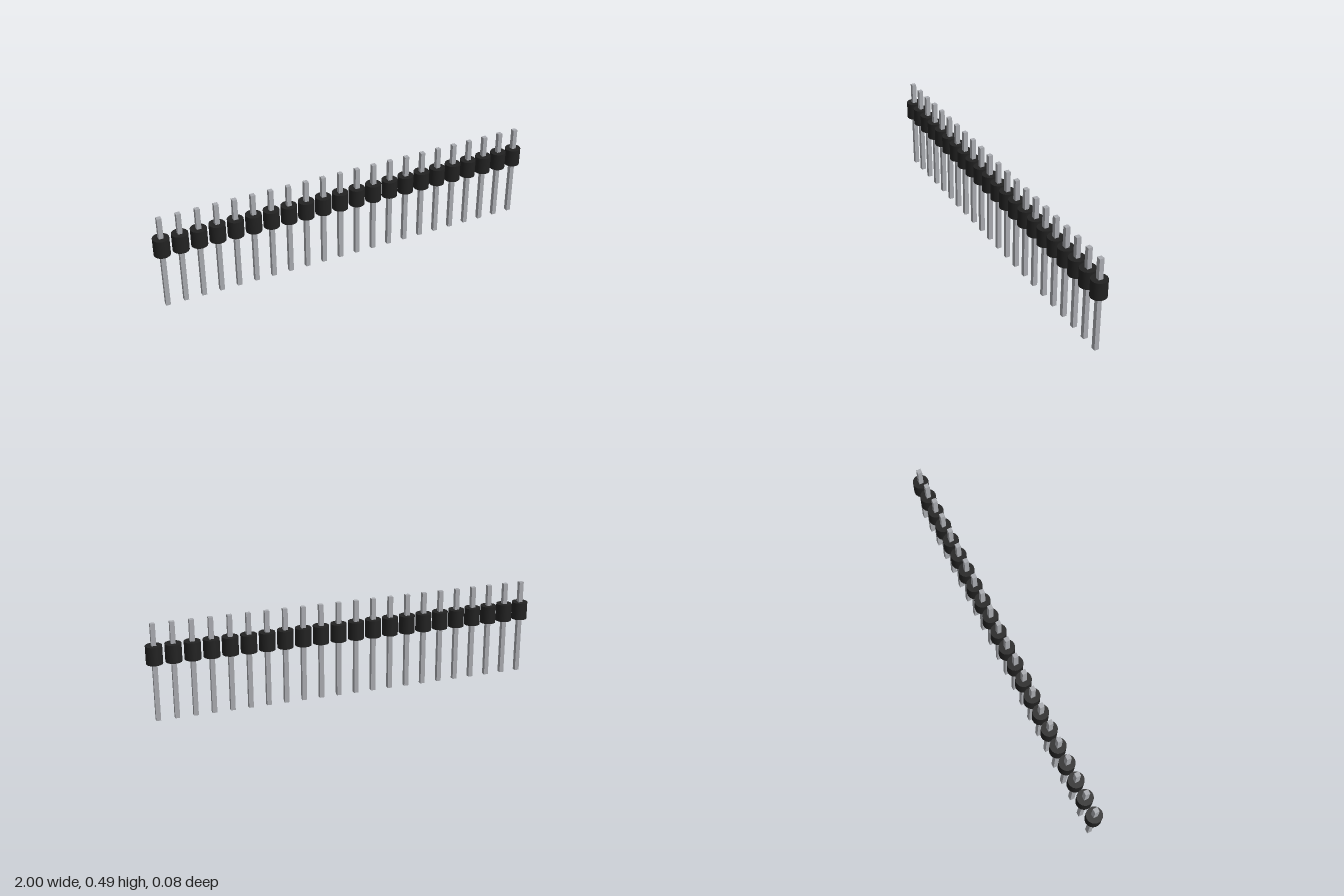
import * as THREE from 'three';

export function createModel() {
  const model = new THREE.Group();
  model.name = 'pinHeader';

  const plastic = new THREE.MeshStandardMaterial({ color: 0x222222 });
  plastic.name = 'black plastic';
  const metal = new THREE.MeshStandardMaterial({ color: 0xa9abb0 });
  metal.name = 'grey metal';

  const count = 22;
  const radius = 0.04;
  const height = 0.488;
  const collarBottom = 0.29, collarTop = 0.38;
  const pitch = (2 - 2 * radius) / (count - 1);

  const collarShape = new THREE.CylinderGeometry(radius, radius, collarTop - collarBottom, 32);
  const pinShape = new THREE.BoxGeometry(0.023, height, 0.023);

  // A row of square pins, each held by its own round collar
  for (let i = 0; i < count; i++) {
    const contact = new THREE.Group();
    contact.name = `contact${i + 1}`;
    contact.position.x = (i - (count - 1) / 2) * pitch;

    const pin = new THREE.Mesh(pinShape, metal);
    pin.name = 'pin';
    pin.position.y = height / 2;

    const collar = new THREE.Mesh(collarShape, plastic);
    collar.name = 'collar';
    collar.position.y = (collarBottom + collarTop) / 2;

    contact.add(pin, collar);
    model.add(contact);
  }
  return model;
}
